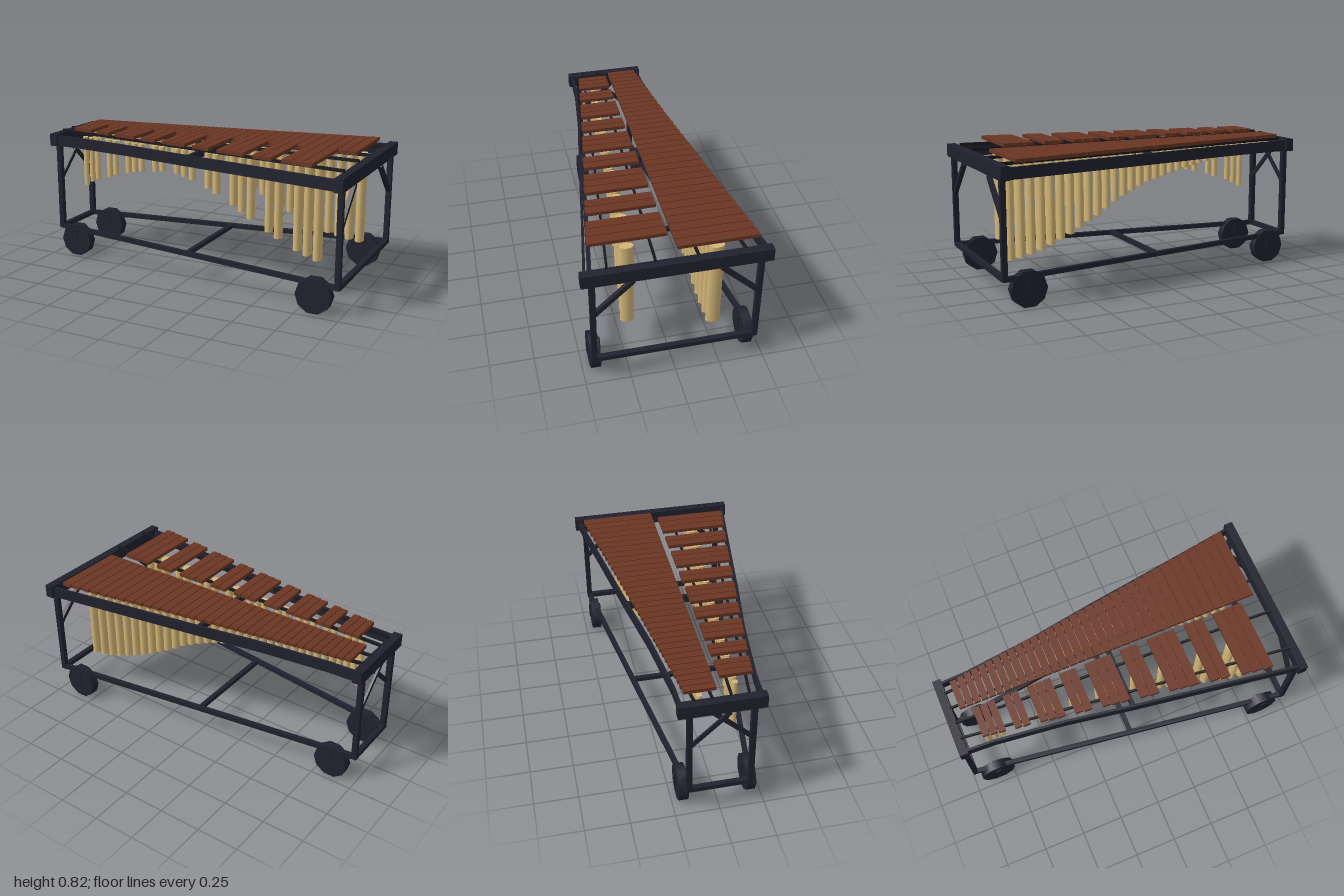
import * as THREE from 'three';

const mat = (name, color) => Object.assign(new THREE.MeshStandardMaterial({ color }), { name });

export function createModel() {
  const model = new THREE.Group();
  model.name = 'marimba';
  const frameMat = mat('dark frame', 0x20212d);
  const railMat = mat('black rail', 0x17181d);
  const woodMat = mat('rosewood', 0x6a3523);
  const brassMat = mat('brass', 0xd3b677);

  const add = (name, geometry, material, x, y, z) => {
    const mesh = new THREE.Mesh(geometry, material);
    mesh.name = name;
    mesh.position.set(x, y, z);
    model.add(mesh);
    return mesh;
  };
  const box = (name, material, w, h, d, x, y, z) =>
    add(name, new THREE.BoxGeometry(w, h, d), material, x, y, z);
  // straight bar between two points
  const beam = (name, material, a, b, w, h) => {
    const p = new THREE.Vector3(...a), q = new THREE.Vector3(...b);
    const mid = p.clone().add(q).multiplyScalar(0.5);
    const mesh = box(name, material, w, h, p.distanceTo(q), mid.x, mid.y, mid.z);
    mesh.lookAt(q);
    return mesh;
  };
  // linear interpolation in a list of [x, value]
  const sample = (table, x) => {
    let i = 1;
    while (i < table.length - 1 && x > table[i][0]) i++;
    const [x0, v0] = table[i - 1], [x1, v1] = table[i];
    return v0 + (v1 - v0) * THREE.MathUtils.clamp((x - x0) / (x1 - x0), 0, 1);
  };

  // End boards and low cross bars
  box('wideEndBoard', frameMat, 0.05, 0.075, 1.01, 0.975, 0.7375, 0);
  box('narrowEndBoard', frameMat, 0.05, 0.075, 0.47, -0.975, 0.7375, 0);
  box('wideEndCrossBar', frameMat, 0.03, 0.027, 0.89, 0.975, 0.167, 0);
  box('narrowEndCrossBar', frameMat, 0.03, 0.027, 0.34, -0.975, 0.167, 0);
  box('middleCrossBar', frameMat, 0.027, 0.025, 0.61, 0, 0.167, 0);
  box('upperCrossBar', frameMat, 0.025, 0.04, 0.64, -0.003, 0.73, 0);

  // Wheel, lying with its axle along z
  const wheelGeo = new THREE.CylinderGeometry(0.104, 0.104, 0.054, 10);
  wheelGeo.rotateY(Math.PI / 2).rotateX(Math.PI / 2);

  const sidePath = [[-0.96, 0.213], [-0.8, 0.22], [-0.4, 0.267], [0, 0.333], [0.5, 0.408], [0.96, 0.48]];
  for (const s of [1, -1]) {
    // Posts and lower rail
    box('widePost', frameMat, 0.03, 0.55, 0.03, 0.975, 0.43, s * 0.446);
    box('narrowPost', frameMat, 0.03, 0.55, 0.03, -0.975, 0.43, s * 0.171);
    beam('lowerRail', frameMat, [-0.975, 0.167, s * 0.171], [0.975, 0.167, s * 0.446], 0.027, 0.027);

    // Diagonal braces, crossing at the narrow end
    beam('wideBrace', frameMat, [0.975, 0.485, s * 0.445], [0.975, 0.688, s * 0.232], 0.025, 0.025);
    beam('narrowBrace', frameMat, [-0.975 + s * 0.006, 0.485, s * 0.168], [-0.975 + s * 0.006, 0.685, s * -0.042], 0.012, 0.025);

    // Gently bent upper side rail
    for (let i = 1; i < sidePath.length; i++) {
      const [x0, z0] = sidePath[i - 1], [x1, z1] = sidePath[i];
      beam('upperRail', frameMat, [x0, 0.733, s * z0], [x1, 0.733, s * z1], 0.014, 0.065);
    }

    // Casters with thin fork plates
    for (const [x, z] of [[0.84, 0.43], [-0.845, 0.19]]) {
      add('wheel', wheelGeo, frameMat, x, 0.1, s * z);
      for (const k of [-1, 1]) box('wheelFork', frameMat, 0.03, 0.08, 0.006, x, 0.13, s * z + k * 0.035);
    }

    // Two rails carrying each row of bars
    const y = s > 0 ? 0.784 : 0.768;
    beam('innerBarRail', railMat, [-0.96, y + 0.003, s * 0.048], [0.96, y, s * 0.115], 0.012, 0.017);
    beam('outerBarRail', railMat, [-0.96, y + 0.003, s * 0.142], [0.96, y, s * 0.365], 0.012, 0.017);
  }

  // Key spacing widens towards the low notes
  const keyX = (k) => -0.91 + 0.0428 * k + 0.00031 * k * k;
  const outerZ = (x) => {
    const t = (x + 0.91) / 1.815;
    return 0.185 + 0.245 * t + 0.032 * t * t;
  };
  const naturalEnds = [[-0.9, 0.69], [-0.55, 0.685], [-0.35, 0.65], [-0.2, 0.62], [0, 0.57], [0.1, 0.53],
    [0.2, 0.485], [0.3, 0.42], [0.4, 0.37], [0.5, 0.32], [0.6, 0.28], [0.7, 0.245], [0.8, 0.225], [0.88, 0.215]];
  const sharpEnds = [[-0.83, 0.435], [-0.75, 0.485], [-0.65, 0.512], [-0.61, 0.53], [-0.5, 0.56],
    [-0.42, 0.58], [-0.3, 0.592], [-0.2, 0.612], [0, 0.57], [0.2, 0.485], [0.4, 0.375], [0.6, 0.28], [0.78, 0.225]];

  // One bar with its resonator tube; s picks the row
  const note = (name, s, x, width, barY, ends) => {
    const inner = 0.015, outer = outerZ(x) - (s > 0 ? 0.005 : 0);
    const z = s * (inner + outer) / 2;
    box(name + 'Bar', woodMat, width, 0.02, outer - inner, x, barY, z);
    const top = 0.75, end = sample(ends, x), t = (x + 0.91) / 1.815;
    const tube = new THREE.CylinderGeometry(1, 1, top - end, 16);
    tube.scale(0.016 + 0.01 * t, 1, 0.016 + 0.026 * t * t);
    add(name + 'Resonator', tube, brassMat, x, (top + end) / 2, z);
  };

  const keys = 34;
  for (let k = 0; k < keys; k++) {
    const pitch = keyX(k + 1) - keyX(k);
    note('natural', -1, (keyX(k) + keyX(k + 1)) / 2, pitch - 0.005, 0.793, naturalEnds);
    // Raised bars sit over the gaps, in groups of three and two
    if (k > 1 && k < 33 && [2, 3, 4, 6, 0].includes(k % 7)) {
      note('raised', 1, keyX(k), pitch - 0.005, 0.811, sharpEnds);
    }
  }
  return model;
}
